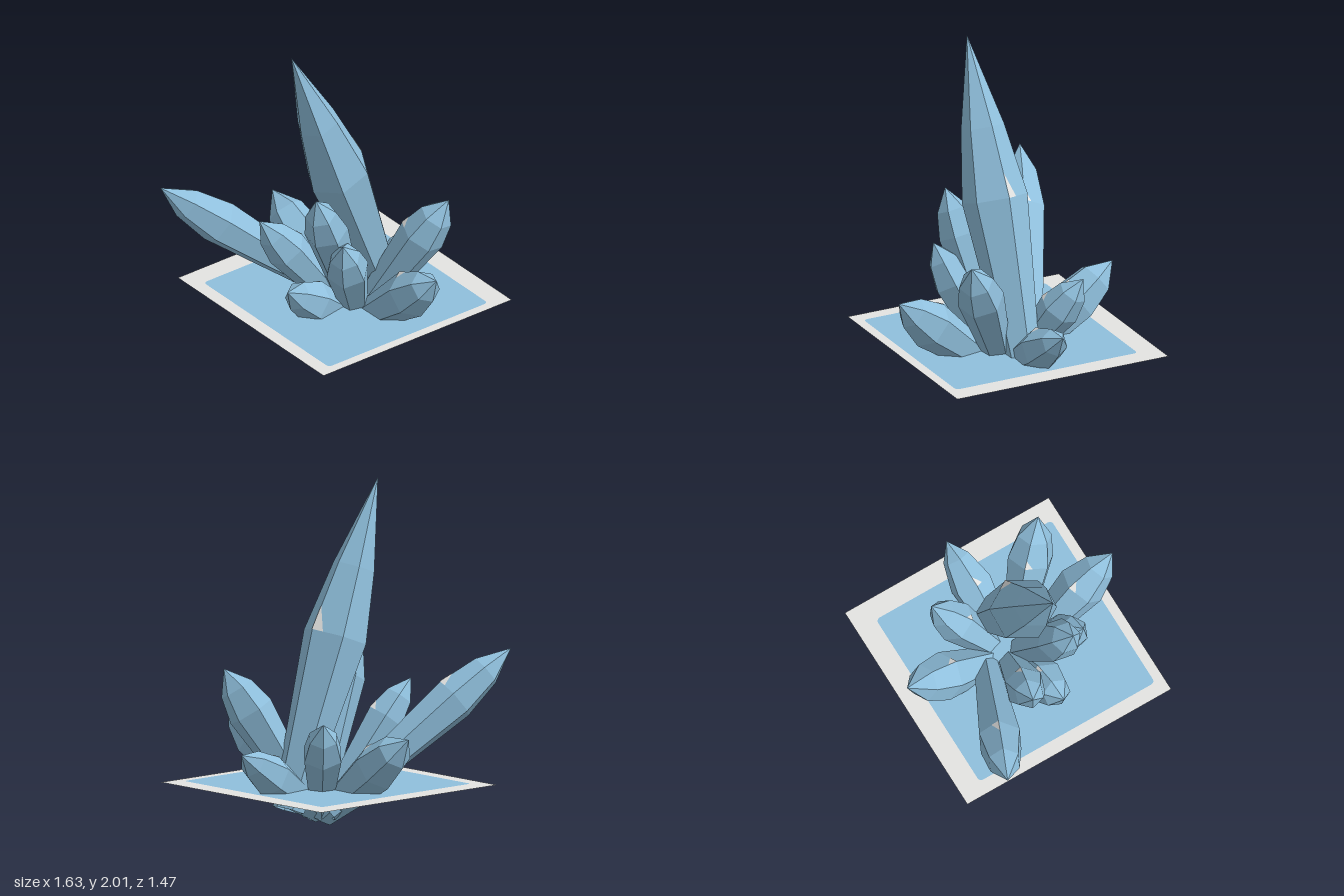
import * as THREE from 'three';

const crystalBlue = new THREE.MeshStandardMaterial({ color: 0x8fbfdc, flatShading: true, side: THREE.DoubleSide });
crystalBlue.name = 'crystal blue';
const paleGrey = new THREE.MeshStandardMaterial({ color: 0xe4e4e2, flatShading: true, side: THREE.DoubleSide });
paleGrey.name = 'pale grey';

// name, base point, tip point, greatest radius, height of widest ring and of shoulder ring (0..1), shoulder radius ratio
const CRYSTALS = [
  ['mainCrystal', [0.40, 0.10, 0], [-0.32, 2.0, 0.01], 0.195, 0.52, 0.73, 0.66],
  ['longLeaningCrystal', [0.22, 0.09, -0.14], [-0.82, 1.0, -0.60], 0.138, 0.69, 0.86, 0.72],
  ['sideCrystal', [0.15, 0.06, 0], [0.81, 0.48, -0.04], 0.13, 0.62, 0.85, 0.65],
  ['frontCrystal', [0.13, 0.05, 0.05], [0.20, 0.62, 0.73], 0.145, 0.67, 0.86, 0.68],
  ['backCrystal', [0.15, 0.05, -0.04], [0.11, 0.58, -0.73], 0.145, 0.62, 0.83, 0.76],
  ['frontCornerCrystal', [0.17, 0.06, 0.03], [0.53, 0.905, 0.42], 0.14, 0.70, 0.86, 0.74],
  ['backCornerCrystal', [0.17, 0.06, -0.03], [0.45, 0.66, -0.36], 0.125, 0.66, 0.85, 0.72],
  ['backSideCrystal', [0.14, 0.06, -0.03], [-0.41, 0.82, -0.18], 0.125, 0.70, 0.86, 0.72],
  ['lowSideCrystal', [0.13, 0.07, 0.02], [-0.38, 0.43, 0.05], 0.13, 0.62, 0.85, 0.7],
  ['frontSideCrystal', [0.14, 0.06, 0.04], [-0.17, 0.79, 0.31], 0.13, 0.68, 0.86, 0.72],
  ['tallSideCrystal', [0.15, 0.06, 0.02], [-0.27, 1.08, 0.18], 0.13, 0.74, 0.88, 0.72],
];

// Six-sided open-ended crystal that widens from its foot and closes in a point
function makeCrystal([name, from, to, radius, wide, shoulder, ratio]) {
  const base = new THREE.Vector3(...from);
  const axis = new THREE.Vector3(...to).sub(base);
  const length = axis.length();
  const group = new THREE.Group();
  group.name = name;

  const profile = [
    [radius * 0.5, 0], [radius, wide * length], [radius * ratio, shoulder * length], [0, length],
  ].map(([r, y]) => new THREE.Vector2(r, y));
  const body = new THREE.Mesh(new THREE.LatheGeometry(profile, 6), crystalBlue);
  body.name = name + 'Body';

  // small pale chip lying on the facet beside the upper ridge
  const corner = (p, k) => {
    const a = k * Math.PI / 3, r = p.x * 1.02;
    return new THREE.Vector3(r * Math.sin(a), p.y, r * Math.cos(a));
  };
  const a = corner(profile[1], 0);
  const b = a.clone().lerp(corner(profile[1], 1), 0.35);
  const c = a.clone().lerp(corner(profile[2], 0), 0.35);
  const chipGeometry = new THREE.BufferGeometry().setFromPoints([a, b, c]);
  chipGeometry.computeVertexNormals();
  const chip = new THREE.Mesh(chipGeometry, paleGrey);
  chip.name = name + 'Chip';
  group.add(body, chip);

  // turn one ridge to the upper side, then lean along the axis
  const ridge = new THREE.Quaternion().setFromAxisAngle(new THREE.Vector3(0, 1, 0), Math.atan2(-axis.x, -axis.z));
  group.quaternion.setFromUnitVectors(new THREE.Vector3(0, 1, 0), axis.normalize()).multiply(ridge);
  group.position.copy(base);
  return group;
}

// Rounded rectangle outline
function roundedRect(target, x0, y0, x1, y1, r) {
  target.absarc(x1 - r, y0 + r, r, -Math.PI / 2, 0);
  target.absarc(x1 - r, y1 - r, r, 0, Math.PI / 2);
  target.absarc(x0 + r, y1 - r, r, Math.PI / 2, Math.PI);
  target.absarc(x0 + r, y0 + r, r, Math.PI, Math.PI * 1.5);
  target.closePath();
  return target;
}

// Flat ground sheet: pale border around a blue panel
function makeSheet() {
  const sheet = new THREE.Group();
  sheet.name = 'groundSheet';
  const inner = [-0.5, -0.6, 0.68, 0.6, 0.025];
  const border = new THREE.Shape([[-0.585, -0.66], [0.81, -0.66], [0.81, 0.735], [-0.585, 0.735]]
    .map(([x, y]) => new THREE.Vector2(x, y)));
  border.holes.push(roundedRect(new THREE.Path(), ...inner));
  const panel = roundedRect(new THREE.Shape(), ...inner);
  for (const [name, shape, material] of [['sheetBorder', border, paleGrey], ['sheetPanel', panel, crystalBlue]]) {
    const mesh = new THREE.Mesh(new THREE.ShapeGeometry(shape, 4), material);
    mesh.name = name;
    sheet.add(mesh);
  }
  sheet.rotation.x = -Math.PI / 2;
  sheet.position.y = 0.23;
  return sheet;
}

export function createModel() {
  const model = new THREE.Group();
  model.name = 'crystalCluster';
  for (const spec of CRYSTALS) model.add(makeCrystal(spec));
  model.add(makeSheet());
  return model;
}
